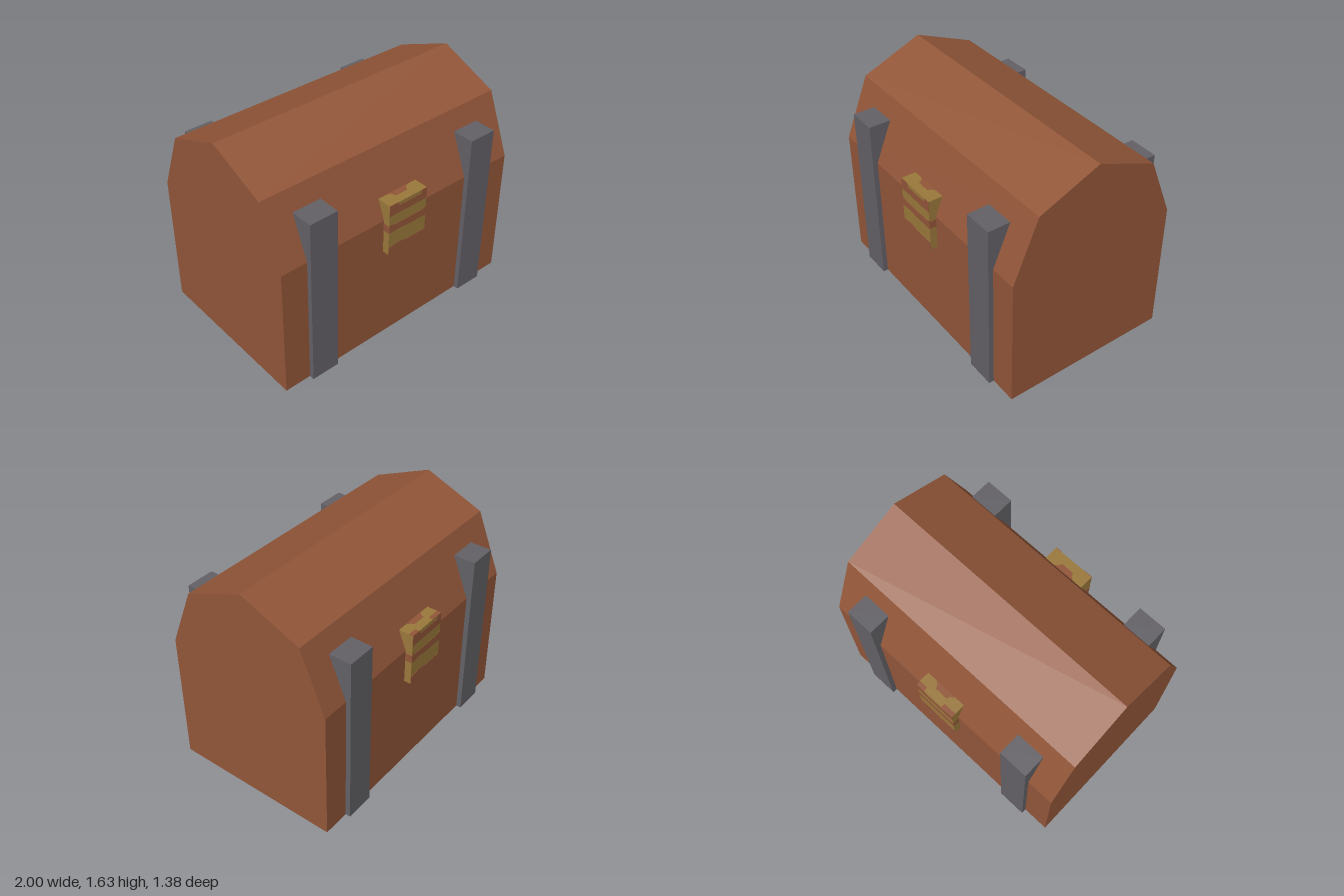
import * as THREE from 'three';

const material = (name, color) => {
  const m = new THREE.MeshStandardMaterial({ color });
  m.name = name;
  return m;
};

const makeShape = (points) => new THREE.Shape(points.map(([x, y]) => new THREE.Vector2(x, y)));

// Extrude a (z, y) profile along x, centred on x = 0
function profileGeometry(points, width) {
  const g = new THREE.ExtrudeGeometry(makeShape(points), { depth: width, bevelEnabled: false });
  g.translate(0, 0, -width / 2);
  g.rotateY(-Math.PI / 2);
  return g;
}

// Thin painted plate drawn in the x-y plane
const plateGeometry = (points) =>
  new THREE.ExtrudeGeometry(makeShape(points), { depth: 0.003, bevelEnabled: false });

export function createModel() {
  const wood = material('brown wood', 0x925639);
  const iron = material('grey iron', 0x636166);
  const brass = material('worn brass', 0x9a783b);

  const chest = new THREE.Group();
  chest.name = 'chest';
  const add = (parent, name, geometry, mat, x = 0, y = 0, z = 0) => {
    const mesh = new THREE.Mesh(geometry, mat);
    mesh.name = name;
    mesh.position.set(x, y, z);
    parent.add(mesh);
    return mesh;
  };

  // Body and faceted lid in one prism
  add(chest, 'body', profileGeometry([
    [-0.635, 0], [0.635, 0], [0.635, 1], [0.45, 1.45],
    [0, 1.635], [-0.45, 1.45], [-0.635, 1],
  ], 2), wood);

  // Upright straps and clasp fit the wall and the sloped lid
  const strap = profileGeometry([
    [0.635, 0], [0.672, 0], [0.672, 1.31], [0.5, 1.31], [0.625, 1],
  ], 0.216);
  const clasp = profileGeometry([
    [0.625, 0.745], [0.686, 0.745], [0.686, 1.143], [0.565, 1.143], [0.625, 1],
  ], 0.328);

  // Worn wooden-brown bands on the clasp face
  const bands = [
    [[-0.164, 1.06], [0.164, 1.06], [0.164, 1.145], [0.12, 1.145], [0.11, 1.117],
      [-0.08, 1.117], [-0.095, 1.145], [-0.164, 1.145]],
    [[-0.164, 0.922], [-0.07, 0.93], [0, 0.922], [0.164, 0.922], [0.164, 0.99],
      [0.13, 0.978], [-0.1, 0.978], [-0.164, 0.99]],
    [[-0.164, 0.745], [0.164, 0.745], [0.164, 0.802], [0, 0.802], [-0.07, 0.815], [-0.164, 0.803]],
  ].map(plateGeometry);
  const topPatch = plateGeometry([
    [-0.09, -0.575], [-0.06, -0.595], [-0.05, -0.62], [0.05, -0.62], [0.06, -0.595], [0.09, -0.575],
  ]).rotateX(-Math.PI / 2);

  for (const [name, turn] of [['front', 0], ['back', Math.PI]]) {
    const side = new THREE.Group();
    side.name = name + 'Fittings';
    side.rotation.y = turn;
    for (const x of [-0.692, 0.692]) add(side, name + 'Strap', strap, iron, x);
    add(side, name + 'Clasp', clasp, brass);
    for (const band of bands) add(side, name + 'ClaspBand', band, wood, 0, 0, 0.685);
    add(side, name + 'ClaspTopPatch', topPatch, wood, 0, 1.142, 0);
    // Band carried round the clasp ends
    for (const x of [-0.164, 0.164]) {
      add(side, name + 'ClaspEndBand', new THREE.BoxGeometry(0.003, 0.058, 0.058), wood, x, 0.951, 0.656);
    }
    chest.add(side);
  }

  // Worn corners on top of the back clasp
  for (const [x, w] of [[-0.115, 0.098], [0.13, 0.068]]) {
    add(chest, 'backClaspCorner', new THREE.BoxGeometry(w, 0.003, 0.033), wood, x, 1.1435, -0.6715);
  }
  return chest;
}
